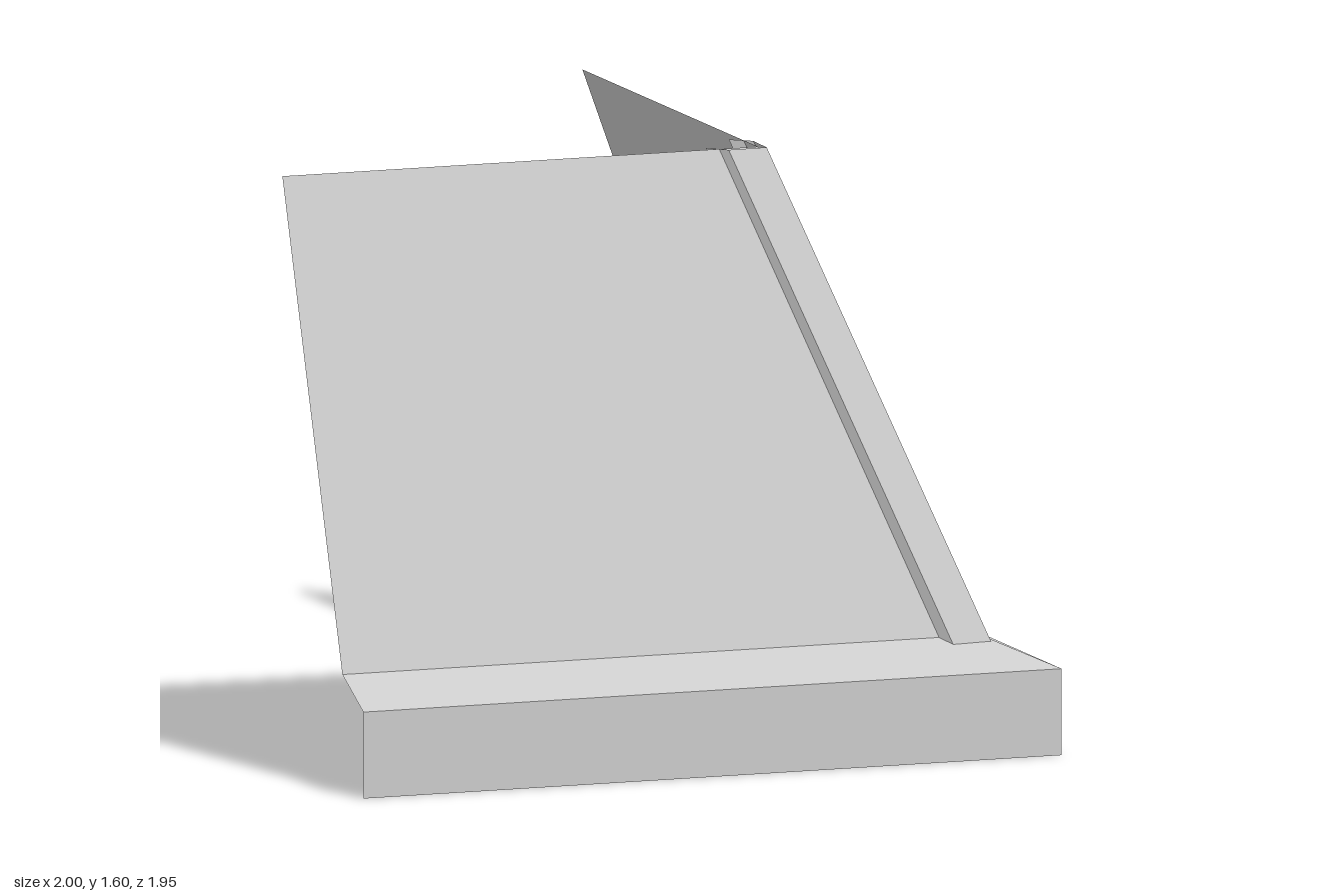
import * as THREE from 'three';

const material = new THREE.MeshStandardMaterial({ color: 0xcccccc, flatShading: true, side: THREE.DoubleSide });

// Flat convex panel from its corners, counter-clockwise seen from outside
function panel(name, corners) {
  const points = [];
  for (let i = 1; i < corners.length - 1; i++) points.push(...corners[0], ...corners[i], ...corners[i + 1]);
  const geometry = new THREE.BufferGeometry();
  geometry.setAttribute('position', new THREE.Float32BufferAttribute(points, 3));
  geometry.computeVertexNormals();
  const mesh = new THREE.Mesh(geometry, material);
  mesh.name = name;
  return mesh;
}

export function createModel() {
  const group = new THREE.Group();
  group.name = 'cornerWall';

  // Wall profile at the mitred corner: [x, y, z] from the ground up
  const mitre = [
    [1, 0, 0.977],
    [1, 0.235, 0.977],
    [0.827, 0.312, 0.817],
    [0.362, 1.595, 0.36],
  ];
  const names = ['Plinth', 'Ledge', 'SlopedWall'];
  names.forEach((name, i) => {
    const a = mitre[i], b = mitre[i + 1];
    group.add(panel('front' + name, [[-1, a[1], a[2]], a, b, [-1, b[1], b[2]]]));
    group.add(panel('side' + name, [a, [a[0], a[1], -0.977], [b[0], b[1], -0.977], b]));
  });

  // Corner trim: an open channel following the slope of the corner
  const trim = new THREE.Group();
  trim.name = 'cornerTrim';
  const slope = 0.36, top = 1.595, cut = 0.346;
  const half = [[-0.155, -0.05], [-0.11, 0.003]];
  const section = [...half, [0, 0], ...half.map(([x, z]) => [z, x]).reverse()];
  const upper = section.map(([x, z]) => [0.38 + x, top, 0.379 + z]);
  // Lower end is cut square to the slope, just under the ledge
  const lower = upper.map(([x, y, z]) => {
    const d = (cut + top - slope * (x + z)) / (1 + 2 * slope * slope);
    return [x + slope * d, y - d, z + slope * d];
  });
  for (let i = 0; i < section.length - 1; i++) {
    trim.add(panel('trimFace' + (i + 1), [lower[i], lower[i + 1], upper[i + 1], upper[i]]));
  }
  trim.add(panel('trimEndCap', lower));
  group.add(trim);

  return group;
}
